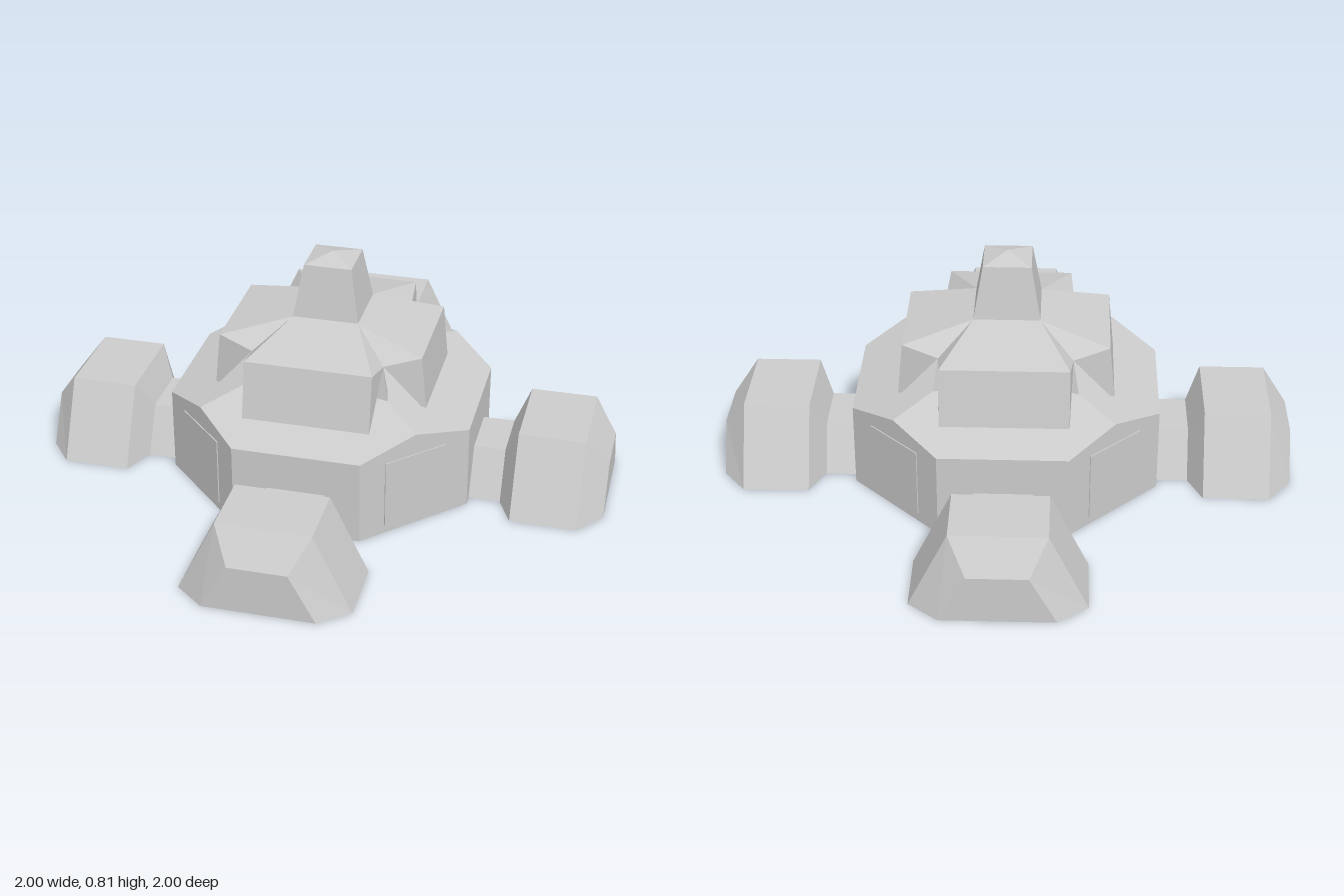
import * as THREE from 'three';

const material = new THREE.MeshStandardMaterial({ color: 0xcccccc, flatShading: true, side: THREE.DoubleSide });

// Faceted shell from convex polygons, each a loop of [x, y, z] corners
function shell(name, polygons) {
  const points = [];
  for (const p of polygons)
    for (let i = 1; i < p.length - 1; i++) points.push(...p[0], ...p[i], ...p[i + 1]);
  const geometry = new THREE.BufferGeometry();
  geometry.setAttribute('position', new THREE.Float32BufferAttribute(points, 3));
  geometry.computeVertexNormals();
  const mesh = new THREE.Mesh(geometry, material);
  mesh.name = name;
  return mesh;
}

// Skin between successive cross-sections; closed sections wrap round
function loft(sections, closed) {
  const faces = [];
  for (let s = 0; s < sections.length - 1; s++) {
    const a = sections[s], b = sections[s + 1], n = a.length;
    for (let i = 0; i < (closed ? n : n - 1); i++) {
      const j = (i + 1) % n;
      faces.push([a[i], a[j], b[j], b[i]]);
    }
  }
  return faces;
}

const square = (r, y) => [[r, y, r], [r, y, -r], [-r, y, -r], [-r, y, r]];
const arch = (bottom, top, height, z) =>
  [[bottom, 0, z], [top, height, z], [-top, height, z], [-bottom, 0, z]];

// Four-sided pyramid roof height, shared by everything that rests on it
const roofY = (x, z) => 0.47 - 0.32 * Math.max(Math.abs(x), Math.abs(z));

const R = 0.53, H = 0.22, D = 0.375;

// One side of the hall: roof plane and the wall with a passage opening
function hallSide() {
  const y = roofY(0, R), yd = roofY(D, D);
  const side = new THREE.Group();
  side.name = 'hallSide';
  side.add(shell('hallRoof', [[[0, 0.47, 0], [-D, yd, D], [-H, y, R], [H, y, R], [D, yd, D]]]));
  side.add(shell('hallWall', [
    [[-H, 0, R], [-0.18, 0, R], [-0.1, 0.165, R], [-H, y, R]],
    [[0.18, 0, R], [H, 0, R], [H, y, R], [0.1, 0.165, R]],
    [[-0.1, 0.165, R], [0.1, 0.165, R], [H, y, R], [-H, y, R]],
  ]));
  // Gabled corner wall with a door panel
  side.add(shell('cornerWall', [[[H, 0, R], [R, 0, H], [R, y, H], [D, yd, D], [H, y, R]]]));
  const door = new THREE.Mesh(new THREE.BoxGeometry(0.24, 0.245, 0.008), material);
  door.name = 'doorPanel';
  door.position.set(D, 0.153, D);
  door.rotation.y = Math.PI / 4;
  side.add(door);
  return side;
}

// Passage widening into an end pod, open underneath
function pod() {
  const sections = [
    arch(0.18, 0.1, 0.165, R), arch(0.18, 0.1, 0.165, 0.64),
    arch(0.29, 0.16, 0.27, 0.69), arch(0.29, 0.16, 0.27, 0.92),
    arch(0.19, 0.1, 0.165, 1),
  ];
  return shell('pod', [...loft(sections, false), sections[4]]);
}

// Window bay: leaning face, sloped roof, triangular cheeks with a gap below
function bay(halfWidth, bottomZ, topZ) {
  const faces = [[
    [-halfWidth, 0.335, bottomZ], [halfWidth, 0.335, bottomZ],
    [halfWidth, 0.54, topZ], [-halfWidth, 0.54, topZ],
  ], [
    [-halfWidth, 0.54, topZ], [halfWidth, 0.54, topZ], [0.115, 0.6, 0.115], [-0.115, 0.6, 0.115],
  ]];
  for (const s of [-1, 1]) {
    const top = [s * halfWidth, 0.54, topZ], notch = [s * 0.23, 0.51, 0.23];
    faces.push([top, [s * 0.115, 0.6, 0.115], notch]);
    faces.push([top, notch, [s * halfWidth, 0.335, bottomZ]]);
  }
  return shell('windowBay', faces);
}

// Slim pillar under the notch between two bays
function pillar() {
  const apex = [0.23, 0.51, 0.23];
  const foot = [[0.24, 0.2], [0.25, 0.25], [0.2, 0.24]].map(([x, z]) => [x, roofY(x, z), z]);
  return shell('pillar', foot.map((p, i) => [apex, p, foot[(i + 1) % 3]]));
}

export function createModel() {
  const model = new THREE.Group();
  model.name = 'outpost';
  for (let i = 0; i < 4; i++) {
    const quarter = new THREE.Group();
    quarter.name = 'quarter';
    quarter.rotation.y = i * Math.PI / 2;
    // Front and back bays are wider and reach further out than the side ones
    const upper = i % 2 ? bay(0.195, 0.375, 0.355) : bay(0.22, 0.4, 0.36);
    quarter.add(hallSide(), pod(), upper, pillar());
    model.add(quarter);
  }
  // Central turret with a low pointed cap
  const rim = square(0.083, 0.785);
  model.add(shell('turret', loft([square(0.115, 0.6), rim], true)));
  model.add(shell('turretCap', rim.map((p, i) => [p, rim[(i + 1) % 4], [0, 0.81, 0]])));
  return model;
}
